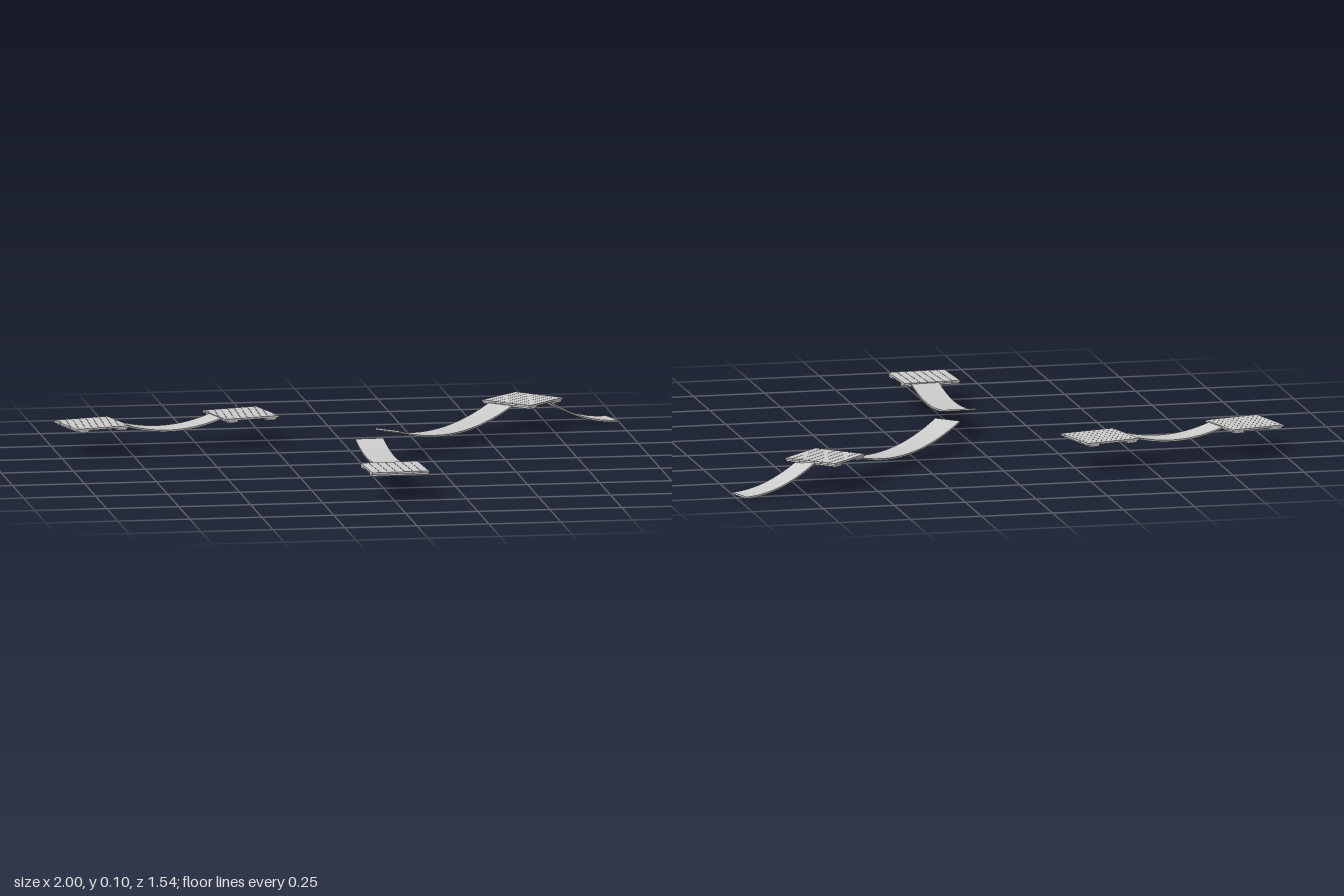
import * as THREE from 'three';
import { toCreasedNormals } from 'three/addons/utils/BufferGeometryUtils.js';

const material = new THREE.MeshStandardMaterial({ color: 0xcccccc });

// Square deck: planks along local x with hairline gaps, on two cross beams
function platform(name, x, z, angle) {
  const size = 0.2, count = 7, pitch = size / count;
  const group = new THREE.Group();
  group.name = name;
  const plankGeo = new THREE.BoxGeometry(size, 0.007, pitch - 0.0012);
  for (let i = 0; i < count; i++) {
    const plank = new THREE.Mesh(plankGeo, material);
    plank.name = 'plank';
    plank.position.set(0, 0.1005, (i - (count - 1) / 2) * pitch);
    group.add(plank);
  }
  const beamGeo = new THREE.BoxGeometry(0.036, 0.007, size);
  for (const side of [-1, 1]) {
    const beam = new THREE.Mesh(beamGeo, material);
    beam.name = 'crossBeam';
    beam.position.set(side * 0.072, 0.0935, 0);
    group.add(beam);
  }
  group.position.set(x, 0, z);
  group.rotation.y = angle;
  return group;
}

// Thin walkway from one plan point to another, following a height rule
function walkway(name, [x0, z0], [x1, z1], height) {
  const length = Math.hypot(x1 - x0, z1 - z0), width = 0.098, half = 0.003, steps = 18;
  const top = [], bottom = [];
  for (let i = 0; i <= steps; i++) {
    const t = i / steps;
    top.push(new THREE.Vector2(t * length, height(t) + half));
    bottom.unshift(new THREE.Vector2(t * length, height(t) - half));
  }
  const shape = new THREE.Shape([...bottom, ...top]);
  const geo = new THREE.ExtrudeGeometry(shape, { depth: width, bevelEnabled: false });
  geo.translate(0, 0, -width / 2);
  const mesh = new THREE.Mesh(toCreasedNormals(geo, 0.6), material);
  mesh.name = name;
  mesh.position.set(x0, 0, z0);
  mesh.rotation.y = Math.atan2(z0 - z1, x1 - x0);
  return mesh;
}

const sagging = (drop) => (t) => 0.1 - 4 * drop * t * (1 - t);

export function createModel() {
  const model = new THREE.Group();
  model.name = 'walkways';

  // Two decks joined by a short hanging walkway
  model.add(
    platform('outerRightPlatform', -0.88, -0.358, 0.255),
    platform('innerRightPlatform', -0.345, -0.476, 0.255),
    walkway('rightWalkway', [-0.785, -0.356], [-0.435, -0.446], sagging(0.03)),
  );

  // Long walkway, corner deck and a ramp down to the ground
  model.add(
    platform('backLeftPlatform', 0.653, -0.605, 0.8),
    walkway('longWalkway', [0.102, -0.08], [0.59, -0.583], sagging(0.055)),
    walkway('groundRamp', [0.724, -0.647], [0.983, -0.728], (t) => 0.004 + 0.094 * (1 - t) ** 2),
  );

  // Front walkway ending on a deck
  model.add(
    platform('frontPlatform', 0.014, 0.664, 0.055 - Math.PI / 2),
    walkway('frontWalkway', [0.014, 0.089], [0.034, 0.575], sagging(0.03)),
  );
  return model;
}
